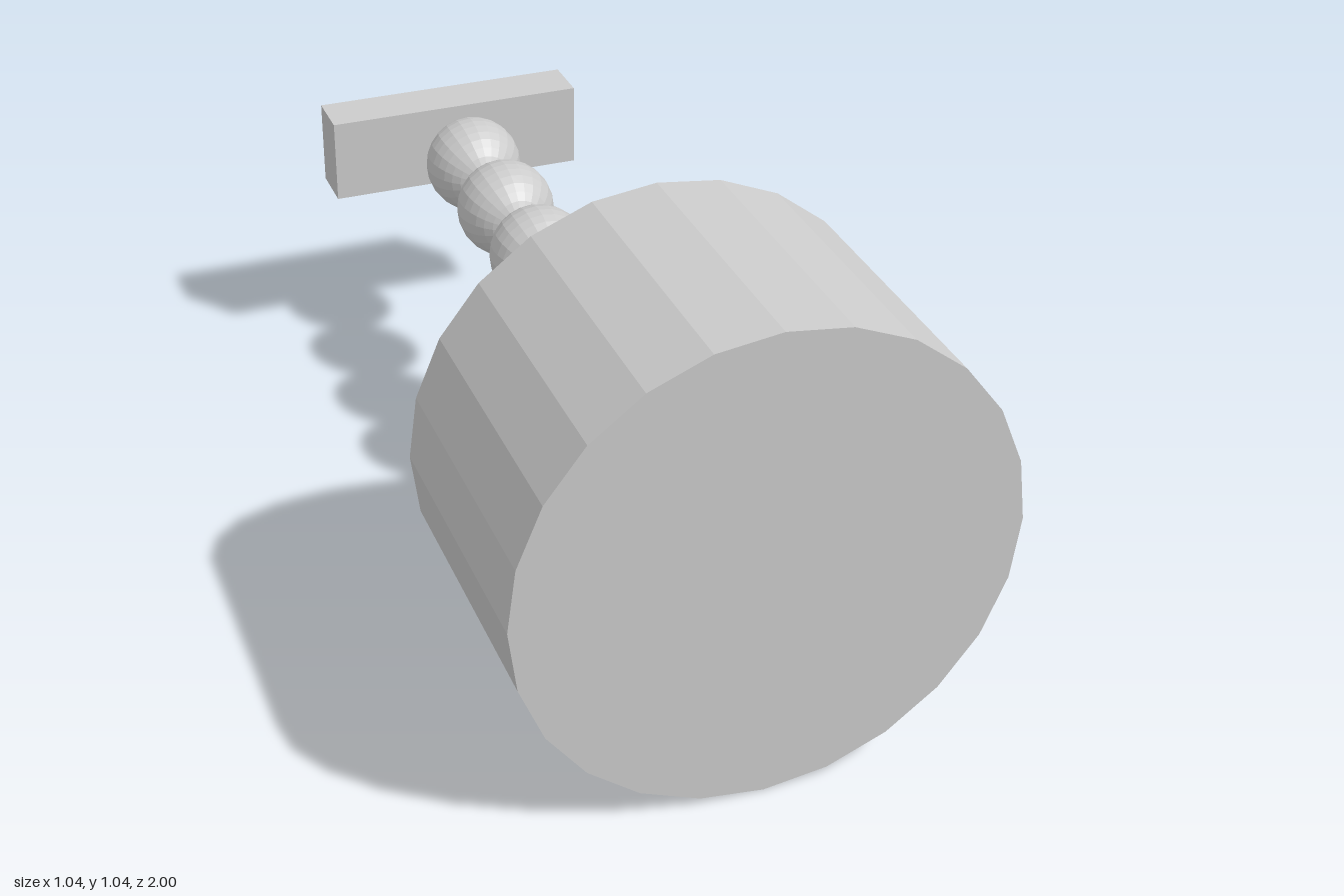
import * as THREE from 'three';

const material = new THREE.MeshStandardMaterial({ color: 0xcccccc, flatShading: true });

export function createModel() {
  const group = new THREE.Group();

  const add = (name, geometry, x, y, z) => {
    const mesh = new THREE.Mesh(geometry, material);
    mesh.name = name;
    mesh.position.set(x, y, z);
    group.add(mesh);
  };

  // Cylinder lying along z, between two z positions
  const rod = (name, radius, zBack, zFront) => {
    const geometry = new THREE.CylinderGeometry(radius, radius, zFront - zBack, 24);
    geometry.rotateX(Math.PI / 2);
    add(name, geometry, 0, 0.52, (zBack + zFront) / 2);
  };

  // Large drum at the front and the thin shaft behind it
  rod('drum', 0.518, 0.395, 1);
  rod('shaft', 0.045, 0, 0.4);

  // Row of beads, poles along z
  const bead = new THREE.SphereGeometry(0.114, 24, 16).rotateX(Math.PI / 2);
  [0.196, -0.04, -0.28, -0.522, -0.768].forEach((z, i) => {
    add(`bead${i + 1}`, bead, -0.01, 0.535, z);
  });

  // Flat bar at the back end
  add('endBar', new THREE.BoxGeometry(0.616, 0.2, 0.12), -0.017, 0.54, -0.94);

  return group;
}
